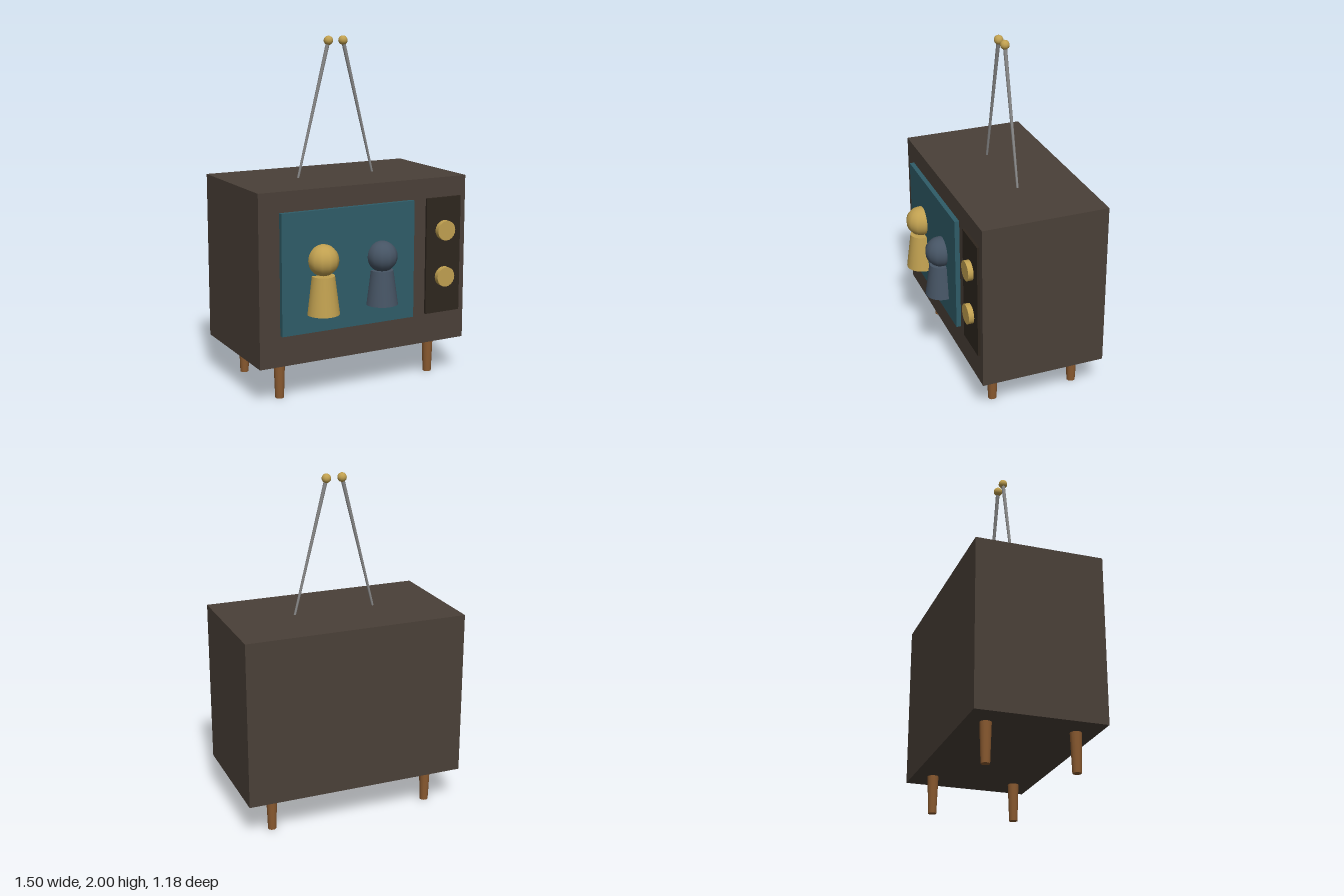
import * as THREE from 'three';

const mat = (color) => new THREE.MeshStandardMaterial({ color });
const walnut = mat(0x4a4038), teal = mat(0x2f5c68), dark = mat(0x2e261e);
const brass = mat(0xc0a050), slate = mat(0x465464), wood = mat(0x8a5a30), steel = mat(0x888888);

export function createModel() {
  const model = new THREE.Group();
  model.name = 'television';
  model.rotation.y = 0.39; // the set stands turned

  const add = (name, geometry, material, x, y, z, parent = model) => {
    const mesh = new THREE.Mesh(geometry, material);
    mesh.name = name;
    mesh.position.set(x, y, z);
    parent.add(mesh);
    return mesh;
  };

  // Cabinet, with the screen and control panel standing proud of its front
  add('cabinet', new THREE.BoxGeometry(1.318, 0.977, 0.735), walnut, 0, 0.71, 0);
  add('screen', new THREE.BoxGeometry(0.834, 0.684, 0.05), teal, -0.119, 0.741, 0.37);
  add('controlPanel', new THREE.BoxGeometry(0.23, 0.684, 0.03), dark, 0.505, 0.741, 0.367);

  // Knobs
  for (const y of [0.89, 0.615]) {
    add('knob', new THREE.CylinderGeometry(0.058, 0.058, 0.05, 20), brass, 0.508, y, 0.388)
      .rotation.x = Math.PI / 2;
  }

  // Figures half sunk into the screen
  const figure = (name, x, base, height, headY, material) => {
    const group = new THREE.Group();
    group.name = name;
    group.position.set(x, 0, 0.411);
    model.add(group);
    add('body', new THREE.CylinderGeometry(0.065, 0.093, height, 20), material, 0, base + height / 2, 0, group);
    add('head', new THREE.SphereGeometry(0.088, 12, 16), material, 0, headY, 0, group);
  };
  figure('rightFigure', -0.294, 0.504, 0.216, 0.807, brass);
  figure('leftFigure', 0.077, 0.513, 0.197, 0.788, slate);

  // Tapered legs
  for (const x of [-0.49, 0.49]) {
    for (const z of [-0.25, 0.25]) {
      add('leg', new THREE.CylinderGeometry(0.033, 0.025, 0.225, 12), wood, x, 0.1125, z);
    }
  }

  // Antenna rods leaning inwards, with ball tips
  for (const side of [-1, 1]) {
    const foot = new THREE.Vector3(side * 0.245, 1.19, 0);
    const tip = new THREE.Vector3(side * 0.047, 1.973, 0);
    const lean = tip.clone().sub(foot);
    const middle = foot.clone().lerp(tip, 0.5);
    add('antennaRod', new THREE.CylinderGeometry(0.012, 0.007, lean.length(), 8), steel, middle.x, middle.y, 0)
      .quaternion.setFromUnitVectors(new THREE.Vector3(0, 1, 0), lean.normalize());
    add('antennaTip', new THREE.SphereGeometry(0.027, 12, 10), brass, tip.x, tip.y, 0);
  }

  const root = new THREE.Group();
  root.name = 'televisionSet';
  root.add(model);
  return root;
}
